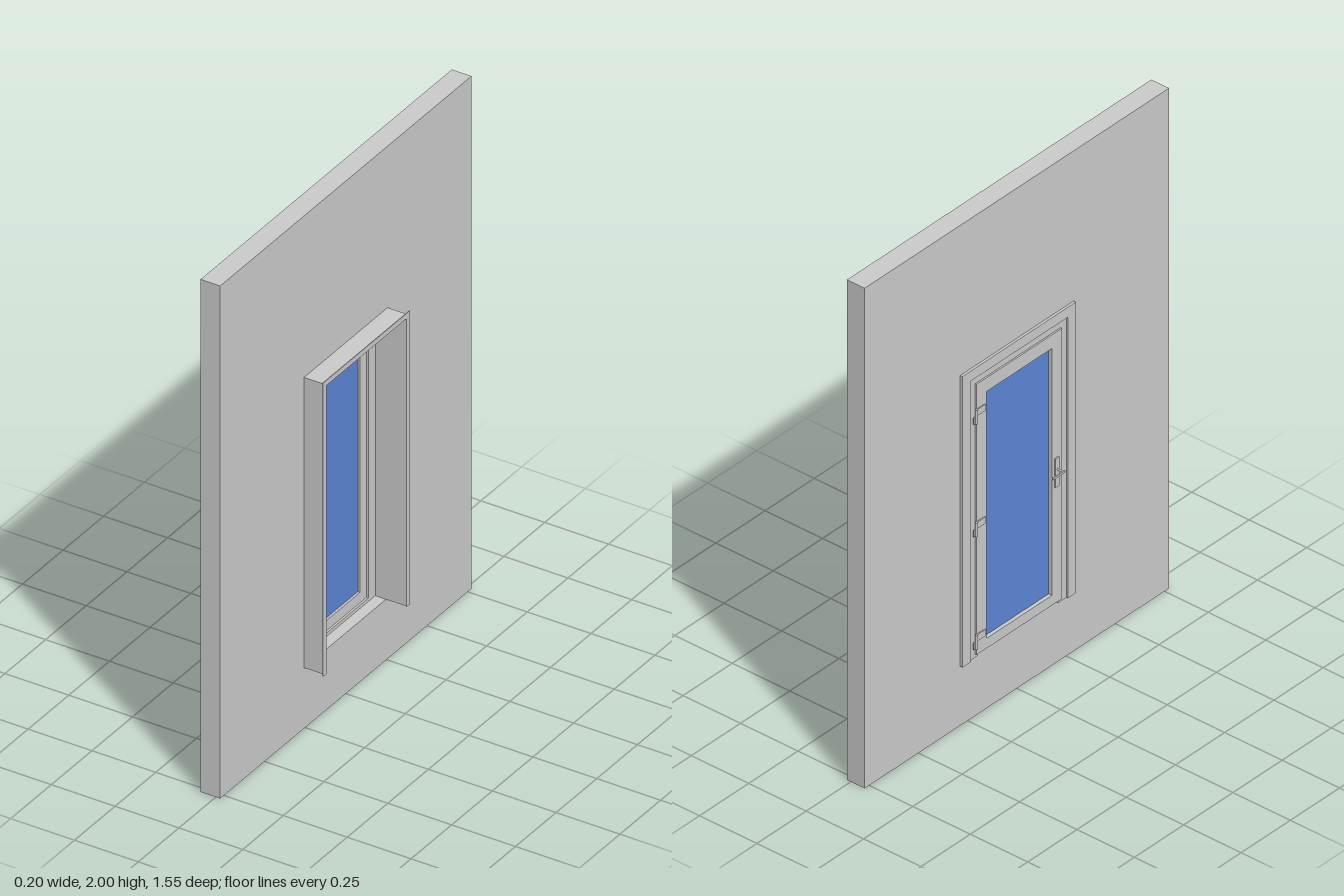
import * as THREE from 'three';

const grey = new THREE.MeshStandardMaterial({ color: 0xcccccc });
const blue = new THREE.MeshStandardMaterial({ color: 0x5b86d6 });

export function createModel() {
  const model = new THREE.Group();

  function add(name, geometry, material = grey, parent = model) {
    const mesh = new THREE.Mesh(geometry, material);
    mesh.name = name;
    parent.add(mesh);
    return mesh;
  }

  // Box given by its limits on each axis
  function box(name, [x0, x1], [y0, y1], [z0, z1], material, parent) {
    const g = new THREE.BoxGeometry(x1 - x0, y1 - y0, z1 - z0);
    g.translate((x0 + x1) / 2, (y0 + y1) / 2, (z0 + z1) / 2);
    return add(name, g, material, parent);
  }

  const rect = (w, y0, y1) => [[-w, y0], [w, y0], [w, y1], [-w, y1]].map(p => new THREE.Vector2(...p));

  // Extrude a z-y outline along x
  function slab(name, shape, [x0, x1]) {
    const g = new THREE.ExtrudeGeometry(shape, { depth: x1 - x0, bevelEnabled: false });
    g.rotateY(Math.PI / 2).translate(x0, 0, 0);
    return add(name, g);
  }

  // Closed rectangular frame: [half width, bottom, top] outside and inside
  function ring(name, outer, inner, xs) {
    const shape = new THREE.Shape(rect(...outer));
    shape.holes.push(new THREE.Path(rect(...inner)));
    return slab(name, shape, xs);
  }

  // Three-sided surround, open at the bottom
  function surround(name, wOut, wIn, y0, topOut, topIn, xs) {
    const pts = [[-wOut, y0], [-wIn, y0], [-wIn, topIn], [wIn, topIn],
      [wIn, y0], [wOut, y0], [wOut, topOut], [-wOut, topOut]];
    return slab(name, new THREE.Shape(pts.map(p => new THREE.Vector2(...p))), xs);
  }

  // Wall in two layers with the door opening
  ring('wallCore', [0.773, 0, 2], [0.257, 0.237, 1.37], [-0.06, 0.005]);
  ring('wallLining', [0.773, 0, 2], [0.257, 0.237, 1.37], [0.005, 0.017]);

  // Deep lining of the opening and its thin edge strip
  surround('jambLining', 0.257, 0.247, 0.237, 1.37, 1.36, [-0.025, 0.095]);
  surround('edgeStrip', 0.267, 0.247, 0.235, 1.38, 1.36, [0.095, 0.098]);

  // Door frame, cover trim and threshold
  surround('doorFrame', 0.257, 0.205, 0.237, 1.37, 1.32, [-0.064, -0.025]);
  surround('coverTrim', 0.288, 0.247, 0.237, 1.4, 1.36, [-0.07, -0.06]);
  box('threshold', [-0.06, -0.025], [0.237, 0.25], [-0.205, 0.205]);

  // Rebated door leaf with a glass pane
  ring('doorLeaf', [0.205, 0.25, 1.32], [0.166, 0.29, 1.277], [-0.064, -0.033]);
  ring('doorLeafRebate', [0.217, 0.25, 1.332], [0.166, 0.29, 1.277], [-0.07, -0.064]);
  box('glassPane', [-0.056, -0.042], [0.29, 1.277], [-0.166, 0.166], blue);

  // Hinges: knuckle and two leaves
  [0.307, 0.757, 1.207].forEach(y => {
    const hinge = new THREE.Group();
    hinge.name = 'hinge';
    model.add(hinge);
    const pin = new THREE.CylinderGeometry(0.005, 0.005, 0.056, 12);
    pin.translate(-0.075, y, -0.222);
    add('hingeKnuckle', pin, grey, hinge);
    box('hingeFrameLeaf', [-0.074, -0.07], [y - 0.026, y], [-0.235, -0.222], grey, hinge);
    box('hingeDoorLeaf', [-0.074, -0.07], [y, y + 0.026], [-0.222, -0.175], grey, hinge);
  });

  // Handles on both faces: plate, spindle and lever
  [[-0.07, -1], [-0.033, 1]].forEach(([face, side]) => {
    const handle = new THREE.Group();
    handle.name = side < 0 ? 'outerHandle' : 'innerHandle';
    handle.position.x = face;
    model.add(handle);
    const span = (a, b) => side > 0 ? [a, b] : [-b, -a];
    box('handlePlate', span(0, 0.005), [0.715, 0.83], [0.179, 0.198], grey, handle);
    const spindle = new THREE.CylinderGeometry(0.004, 0.004, 0.03, 12);
    spindle.rotateZ(Math.PI / 2).translate(side * 0.018, 0.786, 0.189);
    add('handleSpindle', spindle, grey, handle);
    box('handleLever', span(0.029, 0.034), [0.782, 0.79], [0.133, 0.195], grey, handle);
  });

  return model;
}
